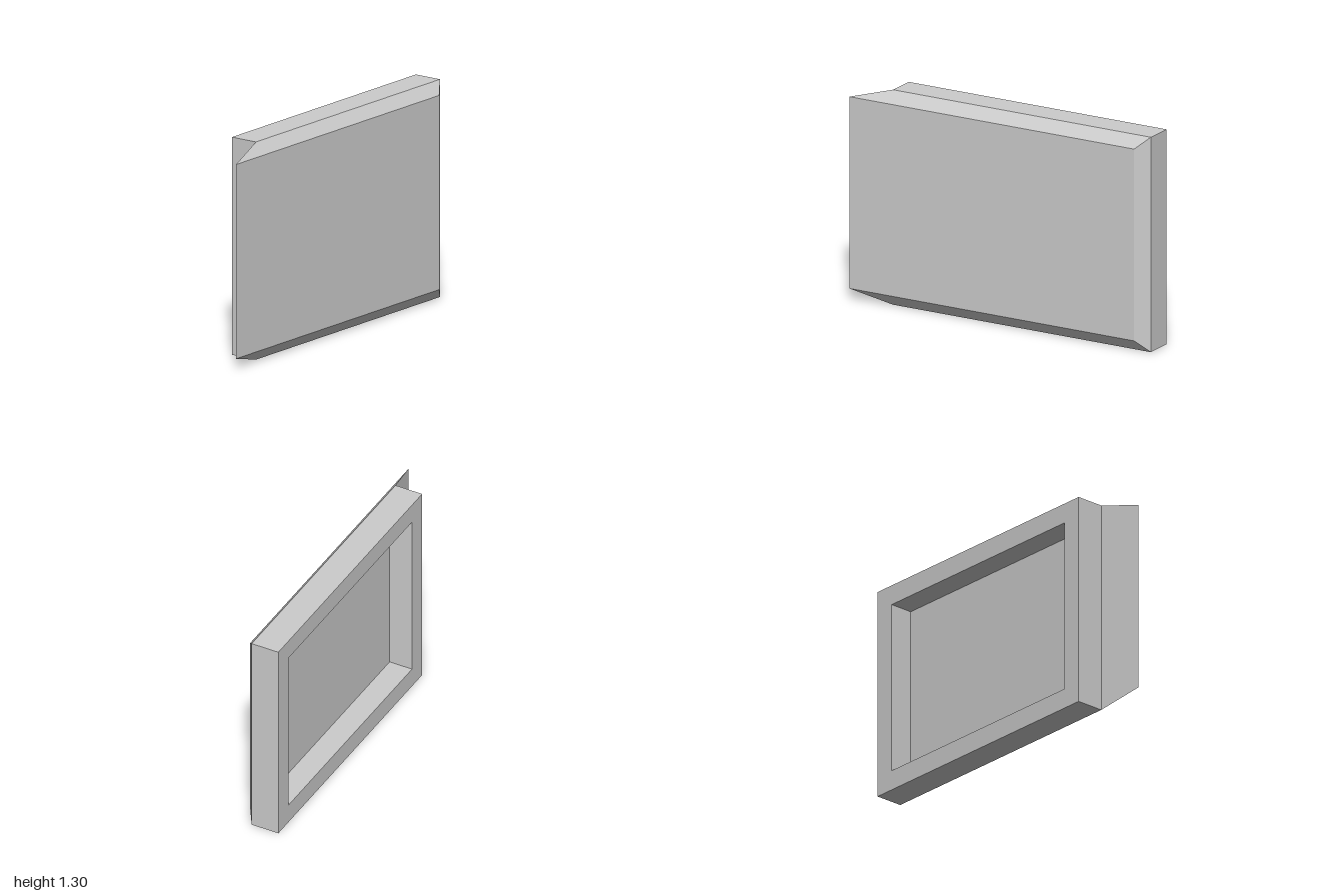
import * as THREE from 'three';

// Rectangular cross-section: four corners, counter-clockwise seen from the front
const rect = (x0, x1, y0, y1, z) => [[x0, y0, z], [x1, y0, z], [x1, y1, z], [x0, y1, z]];

// Join consecutive sections (front to back) with flat quads, optionally capping the ends
function loft(name, sections, material, { capFront = false, capBack = false } = {}) {
  const pos = [];
  const quad = (a, b, c, d) => pos.push(...a, ...b, ...c, ...a, ...c, ...d);
  for (let s = 0; s < sections.length - 1; s++) {
    const a = sections[s], b = sections[s + 1];
    for (let i = 0; i < 4; i++) {
      const j = (i + 1) % 4;
      quad(a[i], b[i], b[j], a[j]);
    }
  }
  if (capFront) quad(...sections[0]);
  if (capBack) {
    const [p, q, r, t] = sections[sections.length - 1];
    quad(p, t, r, q);
  }
  const geometry = new THREE.BufferGeometry();
  geometry.setAttribute('position', new THREE.Float32BufferAttribute(pos, 3));
  geometry.computeVertexNormals();
  const mesh = new THREE.Mesh(geometry, material);
  mesh.name = name;
  return mesh;
}

export function createModel() {
  const group = new THREE.Group();
  group.name = 'recessedPanel';
  const material = new THREE.MeshStandardMaterial({ color: 0xcccccc, flatShading: true });

  const H = 1.3, left = 1, right = -0.74, rim = 0.122;
  const frontFace = rect(-1, 0.92, 0.07, H - 0.07, 0.115);
  const bodyFront = rect(right, left, 0, H, 0.06);
  const bodyBack = rect(right, left, 0, H, -0.115);
  const opening = rect(right + rim, left - rim, rim, H - rim, -0.115);
  const floor = rect(right + rim, left - rim, rim, H - rim, 0.032);

  // Front plate with bevelled edges, overhanging the body on one side
  group.add(loft('frontPlate', [frontFace, bodyFront], material, { capFront: true }));
  // Straight outer walls and the flat rim around the back
  group.add(loft('frame', [bodyFront, bodyBack, opening], material));
  // Rectangular pocket sunk into the back
  group.add(loft('backRecess', [opening, floor], material, { capBack: true }));

  return group;
}
